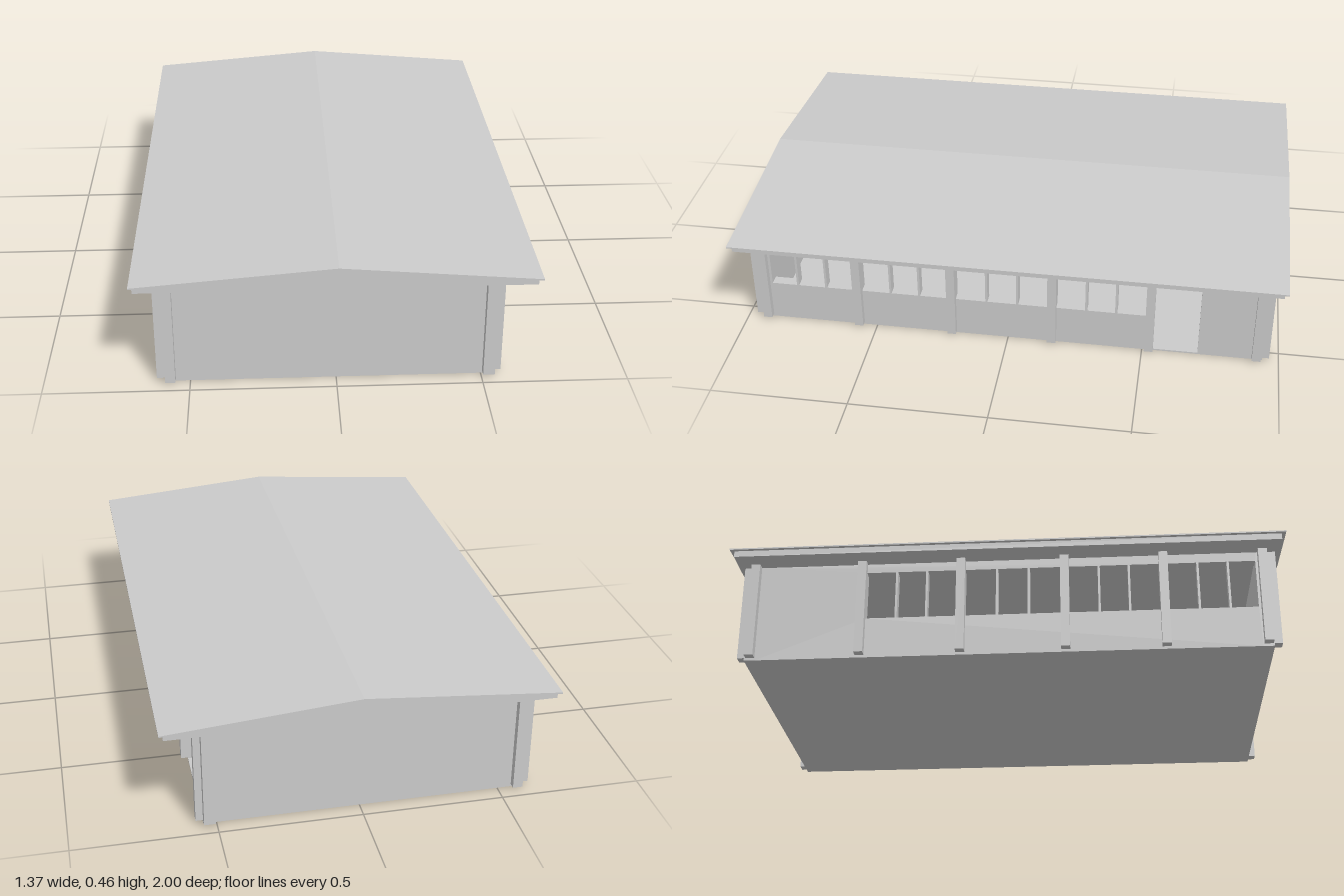
import * as THREE from 'three';

const material = new THREE.MeshStandardMaterial({ color: 0xcccccc, flatShading: true });

// Main dimensions
const X0 = -0.585, X1 = 0.545, ZB = 0.94, WALL = 0.04;
const SILL = 0.155, HEAD = 0.34, EAVE = 0.375;
// Each bay runs from its front edge to its back edge along z
const BAYS = [[0.905, 0.58], [0.55, 0.225], [0.195, -0.15], [-0.18, -0.51]];
const PILLARS = [0.92, 0.565, 0.21, -0.165, -0.525, -0.918];

export function createModel() {
  const model = new THREE.Group();

  const add = (parent, name, geometry) => {
    const mesh = new THREE.Mesh(geometry, material);
    mesh.name = name;
    parent.add(mesh);
    return mesh;
  };
  // Box given by its minimum and maximum along each axis
  const box = (parent, name, x0, x1, y0, y1, z0, z1) => {
    const g = new THREE.BoxGeometry(x1 - x0, y1 - y0, z1 - z0);
    g.translate((x0 + x1) / 2, (y0 + y1) / 2, (z0 + z1) / 2);
    return add(parent, name, g);
  };
  const rectangle = (target, a, b, y0, y1) => {
    target.moveTo(a, y0);
    target.lineTo(b, y0);
    target.lineTo(b, y1);
    target.lineTo(a, y1);
    target.closePath();
    return target;
  };

  // Floor and end walls
  box(model, 'floor', X0 + 0.002, X1 - 0.002, 0, 0.006, -ZB + 0.002, ZB - 0.002);
  box(model, 'frontWall', X0, X1, 0, EAVE, ZB - WALL, ZB);
  box(model, 'backWall', X0, X1, 0, EAVE, -ZB, -ZB + WALL);

  // Long walls: window bands on both, a doorway on the +x one
  for (const side of [-1, 1]) {
    const wall = new THREE.Group();
    wall.name = side > 0 ? 'leftSide' : 'rightSide';
    model.add(wall);
    const x = side > 0 ? X1 - WALL : X0;

    const shape = rectangle(new THREE.Shape(), -ZB + WALL, ZB - WALL, 0, EAVE);
    BAYS.forEach(([front, back], i) => {
      const start = i === 0 ? -0.895 : -front;
      shape.holes.push(rectangle(new THREE.Path(), start, -back, SILL, HEAD));
    });
    if (side > 0) shape.holes.push(rectangle(new THREE.Path(), 0.54, 0.705, 0.006, HEAD));
    const g = new THREE.ExtrudeGeometry(shape, { depth: WALL, bevelEnabled: false });
    g.rotateY(Math.PI / 2);
    g.translate(x, 0, 0);
    add(wall, 'sideWall', g);

    // Two mullions divide each window into three panes
    for (const [front, back] of BAYS) {
      for (const t of [1 / 3, 2 / 3]) {
        const z = front + (back - front) * t;
        box(wall, 'mullion', x, x + WALL, SILL, HEAD, z - 0.004, z + 0.004);
      }
    }

    // Pillars standing proud of the wall
    const outer = side > 0 ? [X1, 0.57] : [-0.615, X0];
    for (const z of PILLARS) {
      box(wall, 'pillar', outer[0], outer[1], 0.01, EAVE, z - 0.016, z + 0.016);
    }
    // Corner pillars on the end walls
    const corner = side > 0 ? [0.505, X1] : [X0, -0.55];
    box(wall, 'frontCornerPillar', corner[0], corner[1], 0.01, EAVE, ZB, 0.968);
    box(wall, 'backCornerPillar', corner[0], corner[1], 0.01, EAVE, -0.965, -ZB);
  }

  // Roof parts are profiles extruded along the length
  const roofPart = (name, points, halfLength) => {
    const shape = new THREE.Shape(points.map(([px, py]) => new THREE.Vector2(px, py)));
    const g = new THREE.ExtrudeGeometry(shape, { depth: halfLength * 2, bevelEnabled: false });
    g.translate(0, 0, -halfLength);
    add(model, name, g);
  };
  // Fascia with gable ends
  roofPart('fasciaAndGables',
    [[-0.675, EAVE], [0.67, EAVE], [0.67, 0.398], [0.005, 0.449], [-0.675, 0.398]], 0.985);
  // Thin overhanging roof sheet
  roofPart('roof',
    [[-0.687, 0.398], [0.005, 0.45], [0.685, 0.398], [0.685, 0.403], [0.005, 0.461], [-0.687, 0.403]], 1);

  return model;
}
